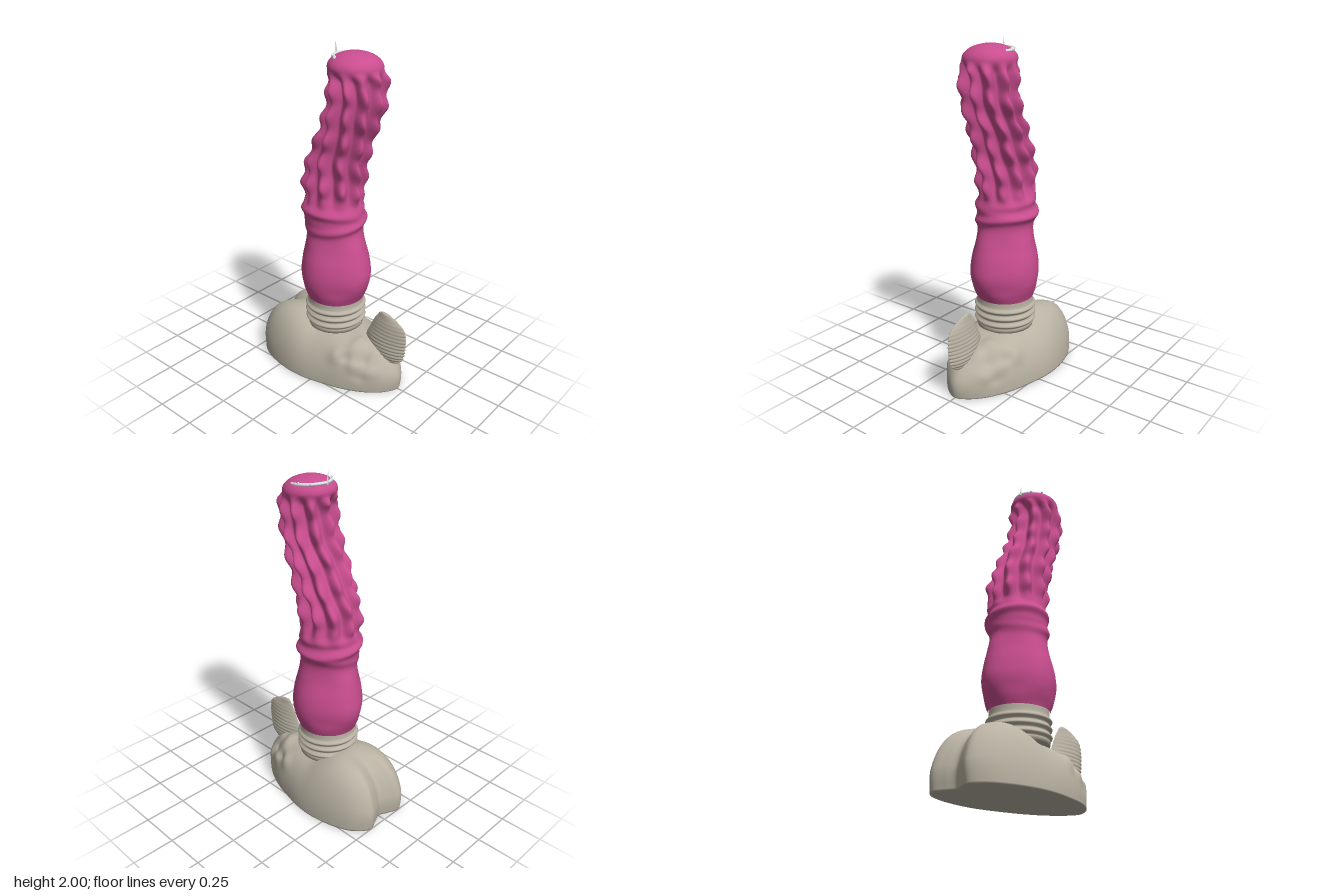
import * as THREE from 'three';

const BEIGE = 0xb9b2a3, PINK = 0xc94d8f, PALE = 0xdfe6e8;
const { sin, cos, abs, PI, exp, pow, max, min } = Math;
const step = (x, a, b) => THREE.MathUtils.smoothstep(x, a, b);

// Smooth interpolation through rows of [key, value, value, ...]
function sample(table, t) {
  let i = 0;
  while (i < table.length - 2 && t > table[i + 1][0]) i++;
  const slope = (k, c) => {
    const p = table[max(0, k - 1)], q = table[min(table.length - 1, k + 1)];
    return (q[c] - p[c]) / (q[0] - p[0]);
  };
  const a = table[i], b = table[i + 1], d = b[0] - a[0];
  const f = min(1, max(0, (t - a[0]) / d)), f2 = f * f, f3 = f2 * f;
  return a.slice(1).map((_, k) => {
    const c = k + 1;
    return (2 * f3 - 3 * f2 + 1) * a[c] + (f3 - 2 * f2 + f) * d * slope(i, c)
      + (3 * f2 - 2 * f3) * b[c] + (f3 - f2) * d * slope(i + 1, c);
  });
}

// Skin of closed rings: fn(v, u) gives a point, v runs up, u runs round
function loft(name, rows, cols, color, fn) {
  const pos = [], idx = [];
  for (let r = 0; r <= rows; r++) {
    for (let c = 0; c < cols; c++) pos.push(...fn(r / rows, c / cols));
  }
  for (let r = 0; r < rows; r++) {
    for (let c = 0; c < cols; c++) {
      const a = r * cols + c, b = r * cols + (c + 1) % cols;
      idx.push(a, b, b + cols, a, b + cols, a + cols);
    }
  }
  const g = new THREE.BufferGeometry();
  g.setAttribute('position', new THREE.Float32BufferAttribute(pos, 3));
  g.setIndex(idx);
  g.computeVertexNormals();
  return mesh(name, g, color);
}

function mesh(name, geometry, color) {
  const m = new THREE.Mesh(geometry, new THREE.MeshStandardMaterial({ color }));
  m.name = name;
  return m;
}

// Two-lobed base, pointed and wrinkled at the front
function createBase() {
  const half = [[0.085, 0.44], [0.16, 0.35], [0.222, 0.22], [0.256, 0.1], [0.288, -0.06], [0.288, -0.2],
    [0.255, -0.36], [0.205, -0.46], [0.13, -0.518], [0.06, -0.495]];
  const outline = new THREE.CatmullRomCurve3([[0, 0.485], ...half, [0, -0.47],
    ...half.map(([x, z]) => [-x, z]).reverse()].map(([x, z]) => new THREE.Vector3(x, 0, z)), true);
  const heights = [[-0.52, 0.36], [-0.36, 0.368], [-0.22, 0.367], [-0.13, 0.348], [-0.04, 0.312],
    [0.1, 0.303], [0.3, 0.29], [0.5, 0.26]];
  // folds: height, z, strength, size; mirrored to both sides
  const folds = [[0.2, 0.15, 0.018, 0.045], [0.26, 0.23, 0.02, 0.04], [0.16, 0.26, 0.016, 0.035],
    [0.25, 0.34, 0.022, 0.04], [0.13, 0.36, 0.014, 0.035], [0.2, 0.2, -0.014, 0.025],
    [0.2, 0.3, -0.018, 0.028], [0.1, 0.3, -0.008, 0.03]];
  const mid = -0.1, flat = 0.12;
  return loft('base', 72, 144, BEIGE, (v, u) => {
    const p = outline.getPoint(u);
    const along = abs(p.z - mid) / Math.hypot(p.x, p.z - mid);
    const n = 2.7 + 1.7 * along * along;
    const t = max(0, (v - flat) / (1 - flat)) * PI / 2;
    const s = v < flat ? v / flat : pow(max(0, cos(t)), 2 / n);
    let x = p.x * s, z = mid + (p.z - mid) * s;
    let y = v <= flat ? 0 : sample(heights, z)[0] * sin(t);
    z = mid + (z - mid) * (1 - 0.05 * (1 - step(y, -0.04, 0.13)));
    y -= 0.032 * exp(-pow(x / 0.08, 2)) * step(-z, 0.15, 0.4) * sin(t);
    // folds push the surface away from the long axis
    let out = 0;
    folds.forEach(([fy, fz, amp, size]) => {
      out += amp * exp(-(pow(y - fy, 2) + pow(z - fz, 2)) / (size * size));
    });
    out *= step(abs(x), 0.015, 0.07) / Math.hypot(x, y, 0.02);
    return [x * (1 + out), y * (1 + out), z];
  });
}

// Ribbed seat between base and body
function createNeck() {
  const points = [[0, 0.295], [0.168, 0.295], [0.172, 0.315]].map(p => new THREE.Vector2(...p));
  for (let i = 0; i < 3; i++) {
    for (let k = 0; k <= 8; k++) {
      points.push(new THREE.Vector2(0.168 + 0.015 * pow(sin(k / 8 * PI), 2), 0.32 + i * 0.044 + k / 8 * 0.042));
    }
  }
  points.push(new THREE.Vector2(0.166, 0.465), new THREE.Vector2(0.167, 0.5));
  const neck = mesh('ribbedNeck', new THREE.LatheGeometry(points, 64), BEIGE);
  neck.position.z = -0.025;
  return neck;
}

// Swelling lower body, banded collar and fluted, leaning upper column
function createBody() {
  const profile = [ // y, x radius, z radius, centre z
    [0.485, 0.169, 0.173, -0.025], [0.55, 0.19, 0.201, -0.023], [0.64, 0.203, 0.224, -0.022],
    [0.73, 0.196, 0.215, -0.022], [0.83, 0.172, 0.192, -0.025], [0.92, 0.158, 0.173, -0.03],
    [1.0, 0.166, 0.178, -0.038], [1.1, 0.153, 0.168, -0.036], [1.2, 0.146, 0.175, -0.035],
    [1.3, 0.146, 0.17, -0.018], [1.4, 0.146, 0.161, 0.012], [1.5, 0.146, 0.153, 0.05],
    [1.6, 0.146, 0.147, 0.088], [1.7, 0.146, 0.145, 0.117], [1.8, 0.147, 0.14, 0.125],
    [1.85, 0.15, 0.145, 0.12], [1.885, 0.152, 0.148, 0.113]];
  const domeStart = 0.9;
  return loft('body', 200, 160, PINK, (v, u) => {
    const dome = max(0, (v - domeStart) / (1 - domeStart)) * PI / 2;
    const level = 0.485 + 1.4 * min(1, v / domeStart);
    const [rx, rz, cz] = sample(profile, level);
    const a = u * 2 * PI;
    // long twisting flutes whose crests sway and swell
    const flute = step(level, 1.06, 1.2) * (1 - step(level, 1.82, 1.885));
    const twist = a + 0.95 * (level - 1.1) + 0.035 * sin(level * 24);
    const crest = cos(10 * twist);
    const ridge = 0.021 * crest + 0.005 * cos(5 * twist + 1);
    const ripple = 0.005 * (1.2 + crest) * sin(level * 45 + 3 * sin(a));
    // overlapping slanted bands of uneven strength
    let band = 0;
    [[0.965, 0.03, 0.5, 0.016], [1.03, 0.026, 3.2, 0.02], [1.075, 0.015, 5, 0.012]].forEach(([h, tilt, ph, amp]) => {
      const near = (level - h - tilt * sin(a + ph)) / 0.026;
      band += amp * (0.75 + 0.35 * sin(a + ph + 1)) * exp(-near * near);
    });
    const lump = 0.008 * cos(4 * a + 0.6) * step(level, 0.5, 0.6) * (1 - step(level, 0.82, 0.95));
    const extra = flute * (ridge + ripple) + band + lump;
    const k = max(0, cos(dome));
    return [(rx + extra) * sin(a) * k, level + 0.081 * sin(dome), cz + (rz + extra) * cos(a) * k - 0.008 * sin(dome)];
  });
}

// Thin ribbed fin standing at the front
function createFin() {
  const shape = [ // y, back z, front z, half width
    [0.17, 0.33, 0.44, 0.018], [0.21, 0.27, 0.482, 0.036], [0.25, 0.23, 0.495, 0.042],
    [0.3, 0.22, 0.502, 0.039], [0.36, 0.247, 0.504, 0.032], [0.42, 0.274, 0.49, 0.023],
    [0.455, 0.297, 0.445, 0.015], [0.48, 0.315, 0.39, 0.01], [0.49, 0.335, 0.345, 0.002]];
  return loft('ribbedFin', 112, 32, BEIGE, (v, u) => {
    const y = 0.17 + 0.32 * v, a = u * 2 * PI;
    const [back, front, w] = sample(shape, y);
    const rib = abs(sin(v * 14 * PI)) - 0.5;
    const c = cos(a), s = sin(a);
    const x = (w + 0.005 * rib * (1 - v)) * s * pow(abs(s), 0.6);
    return [x, y, (back + front) / 2 + ((front - back) / 2 + 0.01 * rib * max(0, c) * (1 - v * v)) * c];
  });
}

// Pale arc on the crown with small beads and a thin spike
function createCrownTrim() {
  const g = new THREE.Group();
  g.name = 'crownTrim';
  const at = (a, r, y) => new THREE.Vector3(0.01 + r * cos(a), y, 0.1 - r * sin(a));
  const pts = [];
  for (let i = 0; i <= 16; i++) {
    const a = -0.3 + i / 16 * (PI + 0.6);
    pts.push(at(a, 0.11, 1.932 + 0.008 * sin(a)));
  }
  g.add(mesh('arc', new THREE.TubeGeometry(new THREE.CatmullRomCurve3(pts), 48, 0.009, 8), PALE));
  [[0.2, 0.11], [0.8, 0.114], [1.6, 0.116], [2.3, 0.118], [2.85, 0.128]].forEach(([a, r]) => {
    const bead = mesh('bead', new THREE.SphereGeometry(0.007, 12, 8), PALE);
    bead.position.copy(at(a, r, 1.94));
    g.add(bead);
  });
  const spike = mesh('spike', new THREE.ConeGeometry(0.007, 0.07, 8), PALE);
  spike.position.set(-0.005, 1.965, -0.014);
  spike.rotation.z = 0.12;
  g.add(spike);
  return g;
}

export function createModel() {
  const model = new THREE.Group();
  model.name = 'model';
  model.add(createBase(), createNeck(), createBody(), createFin(), createCrownTrim());
  return model;
}
